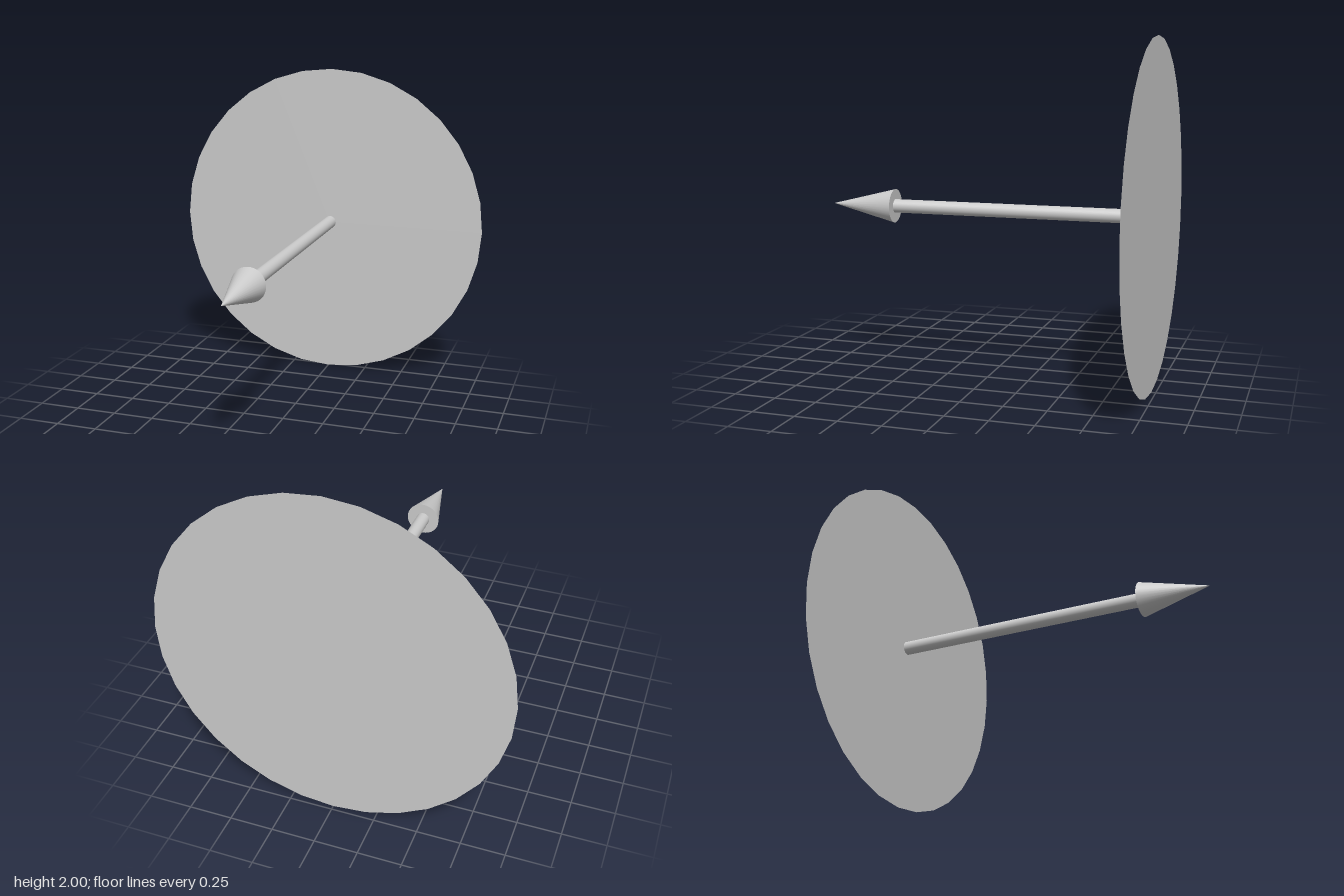
import * as THREE from 'three';

const SIDES = 32;
const BACK = -0.975, HEAD = 0.575, TIP = 0.975;

export function createModel() {
  const model = new THREE.Group();
  model.name = 'planeWithNormalArrow';
  const grey = new THREE.MeshStandardMaterial({ color: 0xcccccc });
  const thin = new THREE.MeshStandardMaterial({ color: 0xcccccc, side: THREE.DoubleSide });

  const add = (name, geometry, material, z) => {
    const mesh = new THREE.Mesh(geometry, material);
    mesh.name = name;
    mesh.position.set(0, 1, z);
    model.add(mesh);
  };

  // Flat disc at the back
  add('disc', new THREE.CircleGeometry(1, SIDES), thin, BACK);

  // Shaft rising from the disc centre, open where it meets the disc
  const length = HEAD - BACK;
  add('arrowShaft',
    new THREE.CylinderGeometry(0.04, 0.04, length, SIDES, 1, true).rotateX(Math.PI / 2),
    thin, BACK + length / 2);

  // Pointed head with a closed base
  add('arrowHead',
    new THREE.ConeGeometry(0.1, TIP - HEAD, SIDES).rotateX(Math.PI / 2),
    grey, (HEAD + TIP) / 2);

  return model;
}
